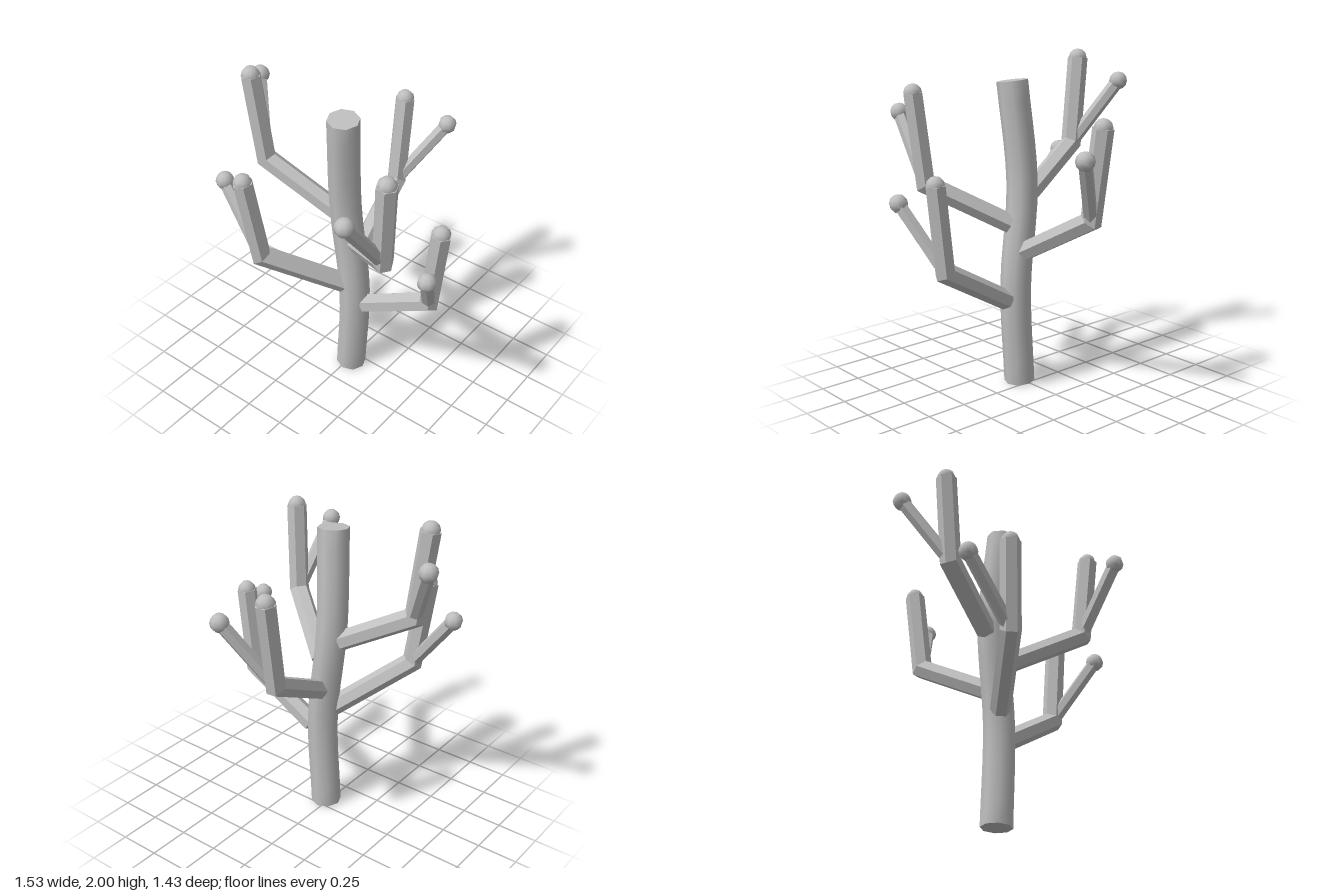
import * as THREE from 'three';

const V = (p) => new THREE.Vector3(...p);

// Capped prism swept along a path, with mitred joints. Vertices sit on flat or smooth sides.
function limbGeometry(path, radius, sides, roll, ref, smooth) {
  const pts = path.map(p => (p.isVector3 ? p : V(p)));
  const last = pts.length - 1;
  const dirs = pts.slice(1).map((p, i) => p.clone().sub(pts[i]).normalize());
  const u = dirs[0].clone().cross(ref).normalize();
  const w = dirs[0].clone().cross(u);

  let ring = [];
  for (let i = 0; i < sides; i++) {
    const a = roll + (i / sides) * Math.PI * 2;
    ring.push(pts[0].clone().addScaledVector(u, Math.cos(a) * radius).addScaledVector(w, Math.sin(a) * radius));
  }
  const rings = [ring];
  // slide each ring along its segment until it meets the next joint plane
  for (let j = 1; j <= last; j++) {
    const t = dirs[j - 1];
    const plane = t.clone().add(dirs[Math.min(j, last - 1)]).normalize();
    ring = ring.map(p => p.clone().addScaledVector(t, pts[j].clone().sub(p).dot(plane) / t.dot(plane)));
    rings.push(ring);
  }

  const verts = [];
  const index = [];
  rings.flat().forEach(p => verts.push(p.x, p.y, p.z));
  for (let j = 0; j < last; j++) {
    for (let i = 0; i < sides; i++) {
      const a = j * sides + i, b = j * sides + (i + 1) % sides;
      index.push(a, b, b + sides, a, b + sides, a + sides);
    }
  }
  // end caps with their own vertices
  for (const end of [0, last]) {
    const base = verts.length / 3;
    rings[end].forEach(p => verts.push(p.x, p.y, p.z));
    for (let i = 1; i < sides - 1; i++) {
      if (end === 0) index.push(base, base + i + 1, base + i);
      else index.push(base, base + i, base + i + 1);
    }
  }
  let geo = new THREE.BufferGeometry();
  geo.setAttribute('position', new THREE.Float32BufferAttribute(verts, 3));
  geo.setIndex(index);
  if (!smooth) geo = geo.toNonIndexed();
  geo.computeVertexNormals();
  return geo;
}

export function createModel() {
  const group = new THREE.Group();
  const grey = new THREE.MeshStandardMaterial({ color: 0xbfbfbf });
  grey.name = 'plain grey';
  const up = new THREE.Vector3(0, 1, 0);

  const add = (parent, name, geo) => {
    const mesh = new THREE.Mesh(geo, grey);
    mesh.name = name;
    parent.add(mesh);
    return mesh;
  };

  // gently swaying trunk
  const sway = new THREE.CatmullRomCurve3([
    V([0.017, 0.01, 0.062]), V([0.045, 0.62, 0.062]), V([-0.015, 1.24, 0.07]), V([0.015, 1.85, 0.122])
  ]);
  add(group, 'trunk', limbGeometry(sway.getPoints(15), 0.093, 8, 0, new THREE.Vector3(0, 0, 1), true));

  // each branch: root, elbow, tip, tip of its side twig, roll of the hexagon
  const vertexUp = Math.PI / 6;
  const branches = [
    { name: 'leftLowerBranch', root: [0.12, 0.55, 0.055], elbow: [0.575, 0.81, 0.055], tip: [0.63, 1.32, 0.055], twig: [0.71, 1.19, 0.3], roll: vertexUp },
    { name: 'rightFrontBranch', root: [0.0, 0.69, 0.11], elbow: [-0.335, 0.96, 0.46], tip: [-0.39, 1.48, 0.51], twig: [-0.63, 1.34, 0.41], roll: 0 },
    { name: 'backBranch', root: [0.02, 0.85, 0.0], elbow: [-0.045, 1.11, -0.48], tip: [-0.053, 1.64, -0.555], twig: [0.185, 1.5, -0.66], roll: 0 },
    { name: 'leftFrontBranch', root: [0.07, 1.01, 0.08], elbow: [0.47, 1.26, 0.37], tip: [0.515, 1.79, 0.41], twig: [0.44, 1.65, 0.66], roll: 0 },
    { name: 'rightUpperBranch', root: [-0.08, 1.18, 0.075], elbow: [-0.515, 1.42, 0.175], tip: [-0.58, 1.945, 0.19], twig: [-0.715, 1.81, -0.03], roll: vertexUp }
  ];
  const bud = new THREE.SphereGeometry(0.055, 8, 6);

  for (const b of branches) {
    const part = new THREE.Group();
    part.name = b.name;
    add(part, 'bentBranch', limbGeometry([b.root, b.elbow, b.tip], 0.061, 6, b.roll, up, false));
    add(part, 'sideTwig', limbGeometry([b.elbow, b.twig], 0.041, 6, vertexUp, up, false));
    add(part, 'branchBud', bud).position.set(...b.tip);
    add(part, 'twigBud', bud).position.set(...b.twig);
    group.add(part);
  }
  return group;
}
